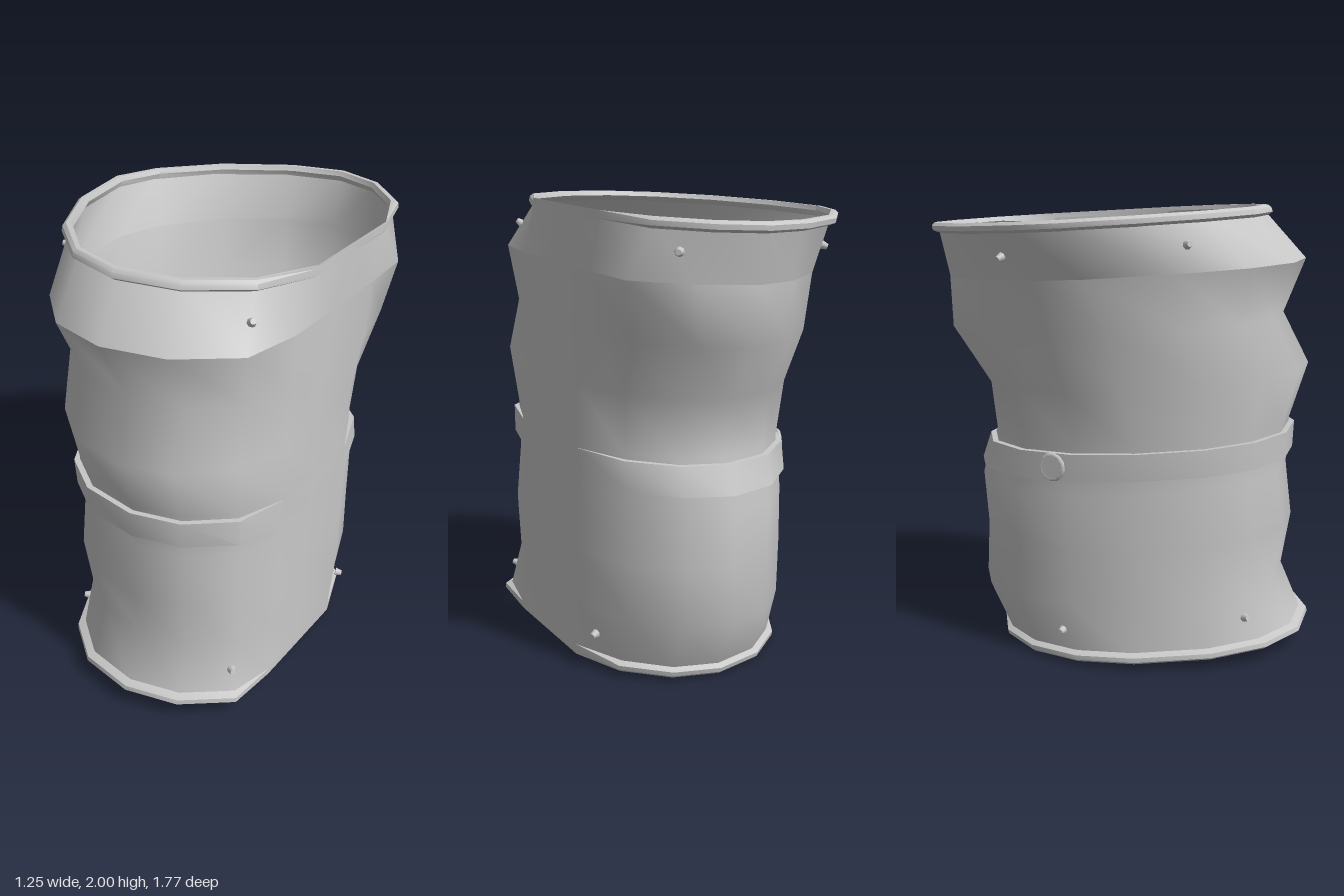
import * as THREE from 'three';
import { toCreasedNormals } from 'three/addons/utils/BufferGeometryUtils.js';

const SEG = 16, FLAT_X = 0.625;

// Cross-sections, top to bottom:
// height, leftX, leftZ, frontX, frontZ, backX, backZ, rightX front half, rightX back half, rightZ,
// roundness of the front-left and back-left quarters (1 = ellipse, less = fuller, more = flatter)
const LEVELS = [
  [1.94, -0.60, -0.20, 0.03, 0.63, 0.17, -0.86, 0.70, 0.68, -0.10, 1.05, 1.3],
  [1.72, -0.53, -0.10, 0.08, 0.82, 0.17, -0.81, 0.78, 0.80, 0.00, 0.90, 1.25],
  [1.48, -0.475, 0.00, 0.14, 0.73, 0.17, -0.80, 0.72, 0.73, 0.05, 0.90, 1.15],
  [1.24, -0.44, 0.05, 0.17, 0.85, 0.17, -0.63, 0.72, 0.69, 0.10, 0.90, 1.05],
  [0.99, -0.40, 0.10, 0.17, 0.77, 0.17, -0.60, 0.70, 0.67, 0.10, 0.88, 1],
  [0.78, -0.385, 0.10, 0.17, 0.76, 0.17, -0.67, 0.70, 0.67, 0.12, 0.88, 1],
  [0.53, -0.40, 0.10, 0.17, 0.79, 0.17, -0.65, 0.72, 0.68, 0.13, 0.88, 1],
  [0.29, -0.38, 0.10, 0.17, 0.75, 0.17, -0.66, 0.72, 0.68, 0.14, 0.88, 1],
  [0.05, -0.39, 0.10, 0.17, 0.85, 0.17, -0.54, 0.76, 0.67, 0.15, 0.88, 1],
];

function levelAt(h) {
  let i = 0;
  while (i < LEVELS.length - 2 && h < LEVELS[i + 1][0]) i++;
  const a = LEVELS[i], b = LEVELS[i + 1];
  const t = THREE.MathUtils.clamp((a[0] - h) / (a[0] - b[0]), 0, 1);
  return a.map((v, k) => v + (b[k] - v) * t);
}

// Point on the sleeve: four rounded quarters, flattened on one side, tilted slightly
function surfacePoint(h, angle, out = 0) {
  const [, lx, lz, fx, fz, bx, bz, rf, rb, rz, pf, pb] = levelAt(h);
  const c = Math.cos(angle), s = Math.sin(angle);
  const front = s >= 0, right = c >= 0;
  const cx = front ? fx : bx, cz = right ? rz : lz;
  const rx = (right ? (front ? rf : rb) - cx : cx - lx) + out;
  const rzz = (front ? fz - cz : cz - bz) + out;
  const p = right ? 1 : (front ? pf : pb);
  const curve = v => Math.sign(v) * Math.abs(v) ** p;
  const x = Math.min(FLAT_X, cx + rx * curve(c)), z = cz + rzz * curve(s);
  return new THREE.Vector3(x, h + 0.055 * z + 0.02 * x, z);
}

// Loft a profile of [height, outward offset] around the sleeve
function loft(profile, crease) {
  const pos = [], idx = [];
  for (const [h, out] of profile)
    for (let j = 0; j < SEG; j++) pos.push(...surfacePoint(h, (j / SEG) * Math.PI * 2, out).toArray());
  for (let i = 0; i < profile.length - 1; i++)
    for (let j = 0; j < SEG; j++) {
      const a = i * SEG + j, b = i * SEG + (j + 1) % SEG;
      idx.push(a, b, a + SEG, b, b + SEG, a + SEG);
    }
  const g = new THREE.BufferGeometry();
  g.setAttribute('position', new THREE.Float32BufferAttribute(pos, 3));
  g.setIndex(idx);
  return toCreasedNormals(g, crease);
}

export function createModel() {
  const group = new THREE.Group();
  const grey = new THREE.MeshStandardMaterial({ color: 0xc8c8c8, side: THREE.DoubleSide });
  grey.name = 'light grey';
  const add = (name, geometry, parent = group) => {
    const m = new THREE.Mesh(geometry, grey);
    m.name = name;
    parent.add(m);
    return m;
  };

  // Open sleeve: a collar folded at its lower edge, then the rippled body
  const rings = LEVELS.map(l => [l[0], 0]);
  add('collar', loft(rings.slice(0, 2), 1.5));
  add('body', loft(rings.slice(1), 1.5));

  // Rolled rims at both openings
  const rim = h => [[h - 0.025, 0], [h - 0.012, 0.03], [h + 0.008, 0.03], [h + 0.02, 0.015],
    [h + 0.02, -0.005], [h, -0.015], [h - 0.025, 0]];
  add('topRim', loft(rim(1.943).reverse(), 0.6));
  add('bottomRim', loft(rim(0.05).map(([h, o]) => [0.1 - h, o]), 0.6));

  // Strap round the middle
  add('middleBand', loft([[0.97, -0.005], [0.97, 0.025], [0.85, 0.025], [0.85, -0.005]], 0.6));

  // Set a part square to the surface at a height and angle
  const place = (obj, h, deg, out) => {
    const a = THREE.MathUtils.degToRad(deg);
    const du = surfacePoint(h, a + 0.05).sub(surfacePoint(h, a - 0.05));
    const dv = surfacePoint(h + 0.02, a).sub(surfacePoint(h - 0.02, a));
    const n = dv.cross(du).normalize();
    if (n.x * Math.cos(a) + n.z * Math.sin(a) < 0) n.negate();
    obj.position.copy(surfacePoint(h, a)).addScaledVector(n, out);
    obj.quaternion.setFromUnitVectors(new THREE.Vector3(0, 1, 0), n);
  };

  // Small studs near both rims
  const studGeo = new THREE.CylinderGeometry(0.012, 0.02, 0.03, 8);
  const studs = [[1.825, 45], [1.835, 148], [1.82, 212], [1.84, -58],
    [0.175, 47], [0.18, 139], [0.16, 208], [0.17, -32]];
  for (const [h, deg] of studs) place(add('stud', studGeo), h, deg, 0.008);

  // Round fastener on the band
  const fastener = new THREE.Group();
  fastener.name = 'bandFastener';
  add('fastenerDisc', new THREE.CylinderGeometry(0.05, 0.05, 0.02, 12), fastener);
  add('fastenerRing', new THREE.TorusGeometry(0.053, 0.011, 6, 12).rotateX(Math.PI / 2), fastener);
  place(fastener, 0.91, 209, 0.022);
  group.add(fastener);

  return group;
}
